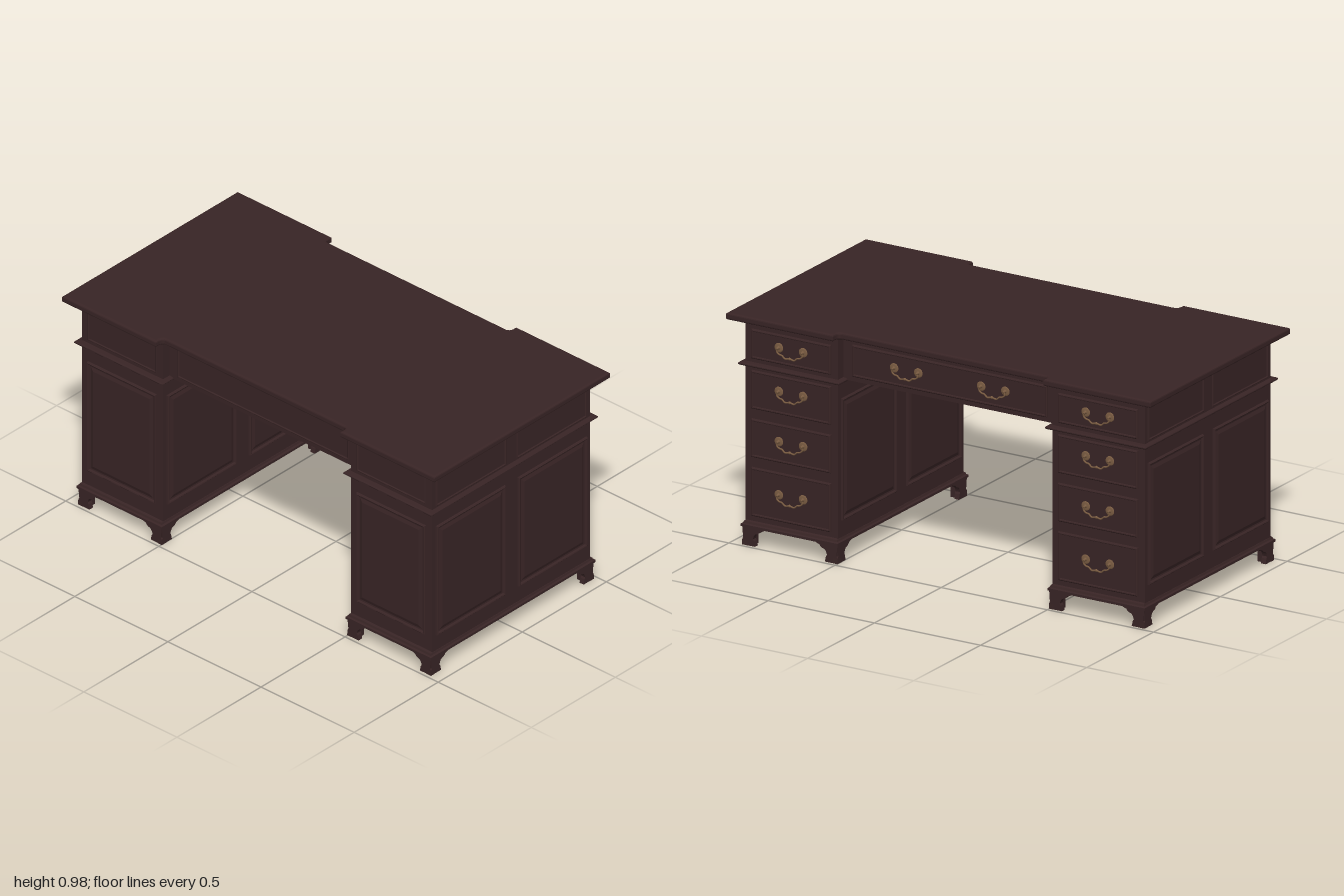
import * as THREE from 'three';

const wood = new THREE.MeshStandardMaterial({ color: 0x382425 });
wood.name = 'darkMahogany';
const brass = new THREE.MeshStandardMaterial({ color: 0x7a5c42 });
brass.name = 'agedBrass';

const PED_Z = 0.7225, PED_X = 0.47, PED_HALF = 0.2175, MID_X = 0.43;

function add(parent, name, geo, mat = wood, x = 0, y = 0, z = 0) {
  const m = new THREE.Mesh(geo, mat);
  m.name = name;
  m.position.set(x, y, z);
  parent.add(m);
  return m;
}

// Nested rectangles facing +z; profile is a list of [inset, height]
function rectLoft(w, h, profile) {
  const rings = profile.map(([i, z]) => {
    const a = w / 2 - i, b = h / 2 - i;
    return [[-a, -b, z], [a, -b, z], [a, b, z], [-a, b, z]];
  });
  const pos = [];
  const quad = (a, b, c, d) => pos.push(...a, ...b, ...c, ...a, ...c, ...d);
  for (let r = 0; r + 1 < rings.length; r++)
    for (let i = 0; i < 4; i++) {
      const j = (i + 1) % 4;
      quad(rings[r][i], rings[r][j], rings[r + 1][j], rings[r + 1][i]);
    }
  quad(...rings[rings.length - 1]);
  quad(...[...rings[0]].reverse());
  const g = new THREE.BufferGeometry();
  g.setAttribute('position', new THREE.Float32BufferAttribute(pos, 3));
  g.computeVertexNormals();
  return g;
}

// Moulding profiles
const FIELDED = [[0, 0], [0.001, 0.006], [0.005, 0.01], [0.009, 0.008], [0.012, 0.003], [0.018, 0.002], [0.033, 0.007]];
const SHALLOW = [[0, 0], [0.001, 0.004], [0.004, 0.005], [0.008, 0.001]];
const DRAWER = [[0, 0], [0.001, 0.007], [0.005, 0.01], [0.009, 0.009], [0.011, 0.005]];
const WAIST = [[0.024, -0.008], [0.004, -0.006], [0, -0.002], [0, 0.002], [0.004, 0.006], [0.024, 0.008]];
const BASE = [[0.008, 0], [0, 0.003], [0, 0.013], [0.007, 0.017], [0.01, 0.025], [0.02, 0.028]];

// Panel on a vertical face turned by angle about y
function facePanel(parent, name, w, h, profile, x, y, z, angle) {
  add(parent, name, rectLoft(w, h, profile), wood, x, y, z).rotation.y = angle;
}

// Horizontal moulding running round a body
function band(parent, name, w, d, profile, y) {
  add(parent, name, rectLoft(w, d, profile), wood, 0, y, 0).rotation.x = -Math.PI / 2;
}

const roseGeo = new THREE.LatheGeometry([
  [0.02, 0], [0.02, 0.002], [0.014, 0.004], [0.009, 0.003], [0.005, 0.005], [0.004, 0.011], [0.006, 0.013], [0.004, 0.016], [0, 0.017],
].map(([r, y]) => new THREE.Vector2(r, y)), 14);
const bailGeo = new THREE.TubeGeometry(new THREE.CatmullRomCurve3([
  [-0.057, 0], [-0.06, -0.014], [-0.048, -0.024], [-0.036, -0.026], [-0.022, -0.037], [0, -0.034],
  [0.022, -0.037], [0.036, -0.026], [0.048, -0.024], [0.06, -0.014], [0.057, 0],
].map(([x, y]) => new THREE.Vector3(x, y, 0.012))), 40, 0.0036, 6);

// Swan-neck drawer pull facing +x
function pull(parent, x, y, z) {
  const g = new THREE.Group();
  g.name = 'drawerPull';
  for (const s of [-1, 1]) add(g, 'rosette', roseGeo, brass, s * 0.057, 0, 0).rotation.x = Math.PI / 2;
  add(g, 'bail', bailGeo, brass);
  add(g, 'bailCentre', new THREE.SphereGeometry(0.006, 8, 6), brass, 0, -0.034, 0.012);
  g.rotation.y = Math.PI / 2;
  g.position.set(x, y, z);
  parent.add(g);
}

// Bracket foot side: outer corner at x = 0, reaching along +x
const footShape = new THREE.Shape();
footShape.moveTo(0, 0.08);
footShape.lineTo(0.006, 0.03);
footShape.lineTo(0, 0.022);
footShape.lineTo(-0.001, 0);
footShape.lineTo(0.06, 0);
footShape.lineTo(0.055, 0.022);
footShape.lineTo(0.05, 0.03);
footShape.quadraticCurveTo(0.056, 0.052, 0.066, 0.054);
footShape.quadraticCurveTo(0.082, 0.058, 0.085, 0.068);
footShape.lineTo(0.103, 0.074);
footShape.lineTo(0.103, 0.08);
const footGeo = new THREE.ExtrudeGeometry(footShape, { depth: 0.022, bevelEnabled: false, curveSegments: 5 });

function foot(parent, sx, sz) {
  const g = new THREE.Group();
  g.name = 'bracketFoot';
  add(g, 'footSide', footGeo);
  const other = add(g, 'footReturn', footGeo, wood, 0.022, 0, 0);
  other.rotation.y = -Math.PI / 2;
  add(g, 'footBlock', new THREE.BoxGeometry(0.04, 0.078, 0.04), wood, 0.027, 0.0395, 0.027);
  g.scale.set(-sx, 1, -sz);
  g.position.set(sx * 0.484, 0, sz * 0.2245);
  parent.add(g);
}

function pedestal(side) {
  const g = new THREE.Group();
  g.name = side > 0 ? 'leftPedestal' : 'rightPedestal';
  g.position.z = side * PED_Z;
  add(g, 'carcass', new THREE.BoxGeometry(PED_X * 2, 0.87, PED_HALF * 2), wood, 0, 0.52, 0);
  band(g, 'baseMoulding', 0.98, 0.458, BASE, 0.075);
  band(g, 'waistMoulding', 0.99, 0.475, WAIST, 0.766);
  for (const sx of [-1, 1]) for (const sz of [-1, 1]) foot(g, sx, sz);

  // Paired side panels, outside and in the kneehole
  for (const f of [-1, 1]) {
    const angle = f > 0 ? 0 : Math.PI;
    for (const sx of [-1, 1]) {
      facePanel(g, 'sidePanel', 0.41, 0.516, FIELDED, sx * 0.243, 0.43, f * PED_HALF, angle);
      if (f === side) facePanel(g, 'friezePanel', 0.416, 0.146, SHALLOW, sx * 0.24, 0.855, f * PED_HALF, angle);
    }
  }
  // End panels
  facePanel(g, 'endPanel', 0.37, 0.516, FIELDED, -PED_X, 0.43, 0, -Math.PI / 2);
  facePanel(g, 'endFriezePanel', 0.37, 0.13, SHALLOW, -PED_X, 0.855, 0, -Math.PI / 2);
  // Drawers: centre height, size, pull height
  for (const [y, h, py] of [[0.853, 0.125, 0.86], [0.66, 0.162, 0.675], [0.455, 0.162, 0.463], [0.228, 0.206, 0.238]]) {
    facePanel(g, 'drawerFront', 0.375, h, DRAWER, PED_X, y, 0, Math.PI / 2);
    pull(g, PED_X + 0.005, py, 0);
  }
  return g;
}

// Top outline with a recessed middle on both long sides
function topGeometry() {
  const s = new THREE.Shape();
  const X = 0.513, N = 0.474, Z = 0.99;
  s.moveTo(-X, -Z);
  s.lineTo(X, -Z);
  s.lineTo(X, -0.505);
  s.lineTo(0.502, -0.505);
  s.quadraticCurveTo(N, -0.502, N, -0.475);
  s.lineTo(N, 0.475);
  s.quadraticCurveTo(N, 0.502, 0.502, 0.505);
  s.lineTo(X, 0.505);
  s.lineTo(X, Z);
  s.lineTo(-X, Z);
  s.lineTo(-X, 0.505);
  s.lineTo(-0.502, 0.505);
  s.quadraticCurveTo(-N, 0.502, -N, 0.475);
  s.lineTo(-N, -0.475);
  s.quadraticCurveTo(-N, -0.502, -0.502, -0.505);
  s.lineTo(-X, -0.505);
  const g = new THREE.ExtrudeGeometry(s, { depth: 0.014, bevelThickness: 0.008, bevelSize: 0.01, bevelSegments: 3, curveSegments: 6 });
  return g.rotateX(-Math.PI / 2);
}

export function createModel() {
  const desk = new THREE.Group();
  desk.name = 'pedestalDesk';
  add(desk, 'deskTop', topGeometry(), wood, 0, 0.959, 0);
  for (const s of [-1, 1]) desk.add(pedestal(s));

  // Middle frieze with its wide drawer
  const mid = new THREE.Group();
  mid.name = 'middleFrieze';
  add(mid, 'friezeBody', new THREE.BoxGeometry(MID_X * 2, 0.188, 1.02), wood, 0, 0.859, 0);
  facePanel(mid, 'wideDrawerFront', 0.92, 0.135, DRAWER, MID_X, 0.853, 0, Math.PI / 2);
  facePanel(mid, 'backFriezePanel', 0.92, 0.135, SHALLOW, -MID_X, 0.853, 0, -Math.PI / 2);
  for (const s of [-1, 1]) pull(mid, MID_X + 0.005, 0.86, s * 0.205);
  desk.add(mid);
  return desk;
}
